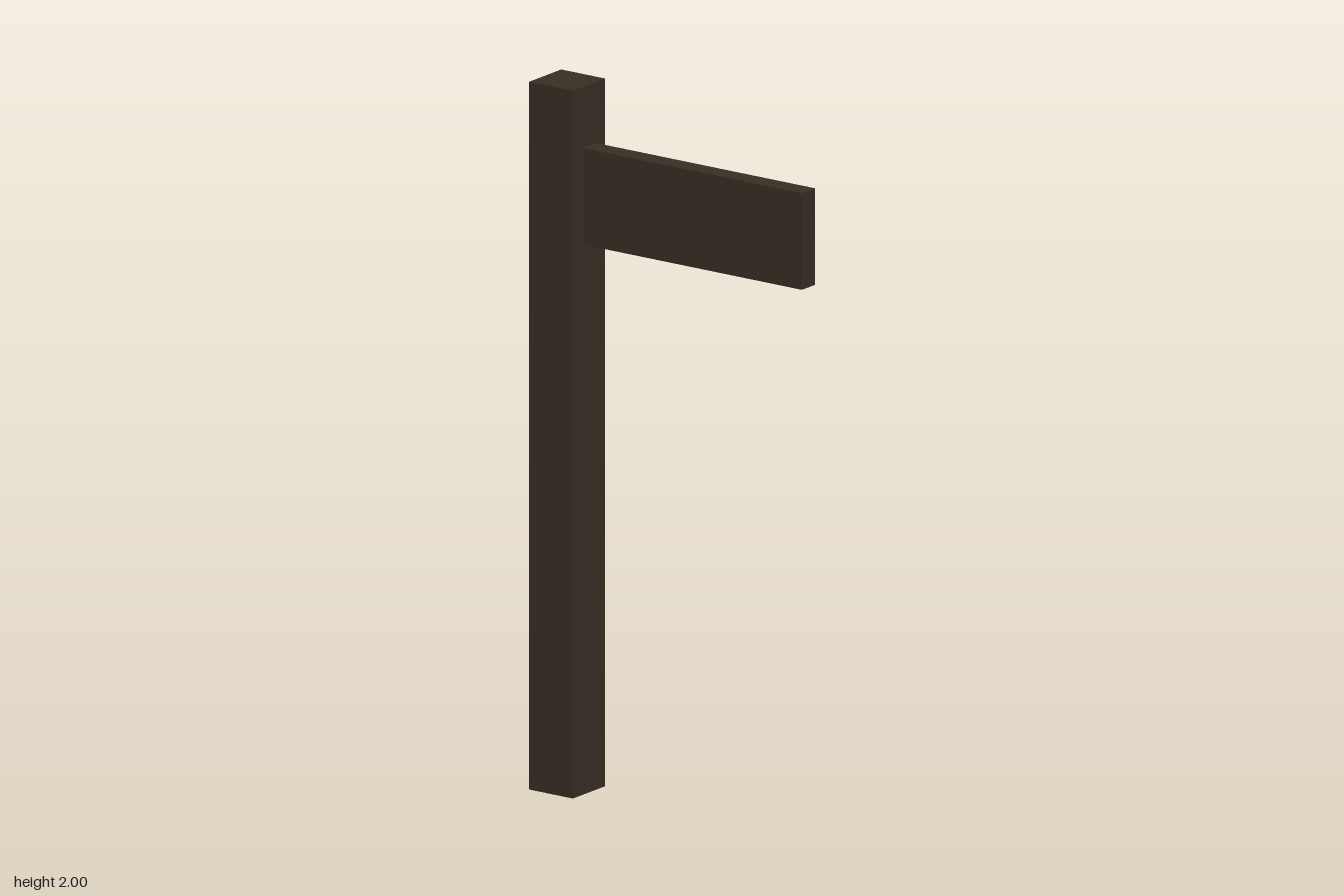
import * as THREE from 'three';

export function createModel() {
  const group = new THREE.Group();
  const darkWood = new THREE.MeshStandardMaterial({ color: 0x382e23 });
  darkWood.name = 'darkWood';

  // Box given by its lowest and highest corners
  function addBox(name, min, max) {
    const size = max.map((v, i) => v - min[i]);
    const mesh = new THREE.Mesh(new THREE.BoxGeometry(...size), darkWood);
    mesh.position.set(...max.map((v, i) => (v + min[i]) / 2));
    mesh.name = name;
    group.add(mesh);
  }

  // Upright square post
  addBox('post', [-0.443, 0, -0.074], [-0.295, 2, 0.074]);
  // Sign board butted against the post's left side
  addBox('signBoard', [-0.295, 1.555, -0.031], [0.443, 1.828, 0.029]);

  return group;
}
